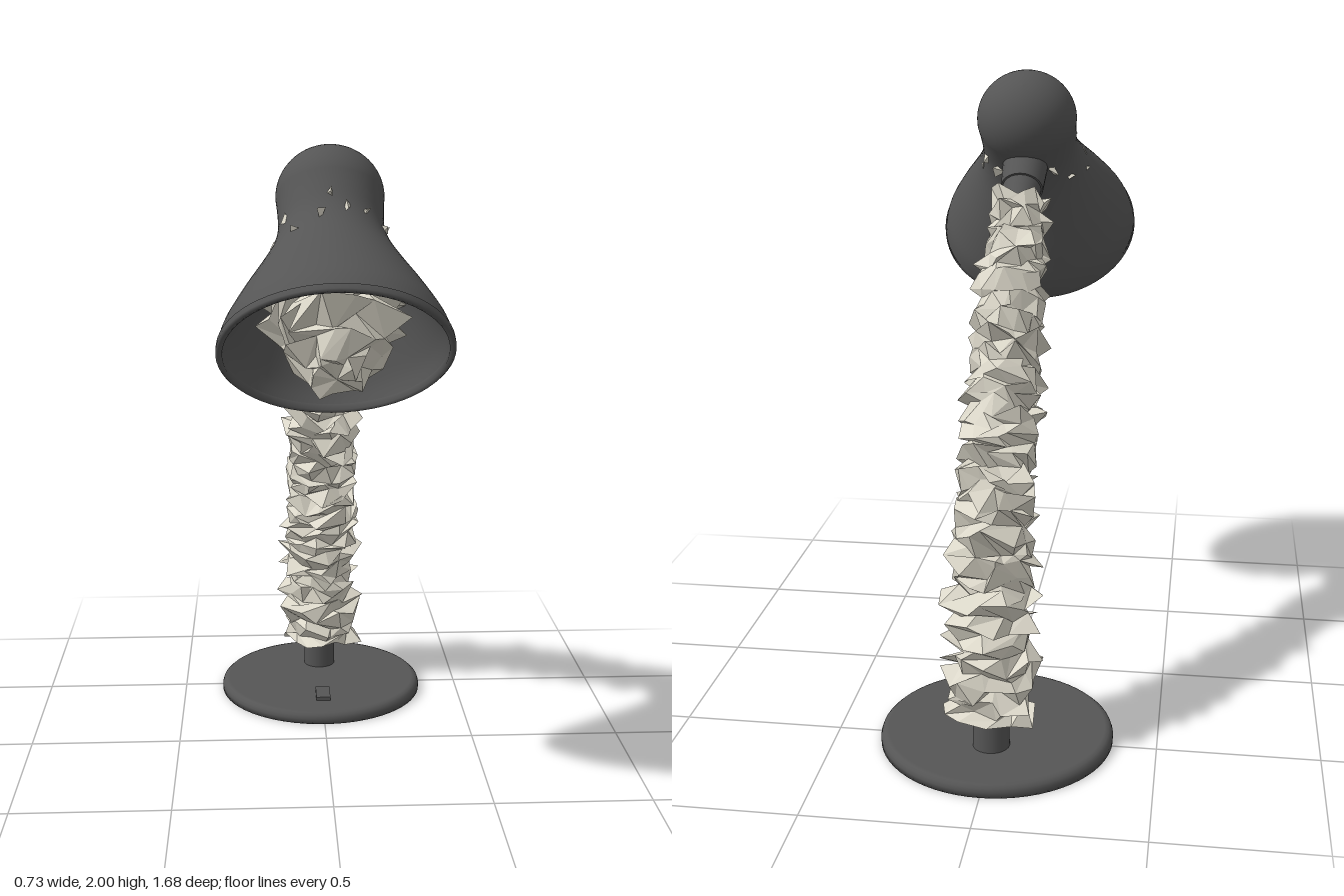
import * as THREE from 'three';

const dark = new THREE.MeshStandardMaterial({ color: 0x555555, side: THREE.DoubleSide });
const crumpled = new THREE.MeshStandardMaterial({ color: 0xdcd8ca, side: THREE.DoubleSide, flatShading: true });

// Small seeded generator
let seed = 7;
function rand() {
  seed = (seed * 16807) % 2147483647;
  return seed / 2147483647;
}

function add(parent, name, geometry, material) {
  const mesh = new THREE.Mesh(geometry, material);
  mesh.name = name;
  parent.add(mesh);
  return mesh;
}

function lathe(pairs, segments = 64) {
  return new THREE.LatheGeometry(pairs.map(([r, y]) => new THREE.Vector2(r, y)), segments);
}

// Jagged tube along a curve in the x = 0 plane; radiusAt(t) is its outer size
function jaggedTube(curve, radiusAt, rings, sides, slip) {
  const positions = [], index = [];
  const side = new THREE.Vector3(1, 0, 0);
  for (let i = 0; i <= rings; i++) {
    const t = i / rings;
    const center = curve.getPointAt(t);
    const tangent = curve.getTangentAt(t);
    const up = new THREE.Vector3().crossVectors(tangent, side);
    const pinch = i % 2 ? 0.8 : 1;
    for (let j = 0; j < sides; j++) {
      const a = ((j + 0.5 * (i % 2) + 0.8 * (rand() - 0.5)) / sides) * Math.PI * 2;
      const r = radiusAt(t) * pinch * (0.65 + 0.42 * rand());
      const p = center.clone()
        .addScaledVector(side, Math.cos(a) * r)
        .addScaledVector(up, Math.sin(a) * r)
        .addScaledVector(tangent, (rand() - 0.5) * slip);
      positions.push(p.x, p.y, p.z);
    }
  }
  for (let i = 0; i < rings; i++) {
    for (let j = 0; j < sides; j++) {
      const k = (j + 1) % sides;
      const a = i * sides + j, b = i * sides + k, c = a + sides, d = b + sides;
      if (rand() < 0.5) index.push(a, b, d, a, d, c);
      else index.push(a, b, c, b, d, c);
    }
  }
  // End caps
  [0, 1].forEach((t) => {
    const p = curve.getPointAt(t), tip = positions.length / 3, o = t * rings * sides;
    positions.push(p.x, p.y, p.z);
    for (let j = 0; j < sides; j++) {
      const k = (j + 1) % sides;
      if (t) index.push(tip, o + j, o + k);
      else index.push(tip, o + k, o + j);
    }
  });
  const g = new THREE.BufferGeometry();
  g.setAttribute('position', new THREE.Float32BufferAttribute(positions, 3));
  g.setIndex(index);
  const flat = g.toNonIndexed();
  flat.computeVertexNormals();
  return flat;
}

// Cylinder between two points
function rod(parent, name, from, to, rFrom, rTo) {
  const dir = to.clone().sub(from);
  const mesh = add(parent, name, new THREE.CylinderGeometry(rTo, rFrom, dir.length(), 24), dark);
  mesh.position.copy(from).add(to).multiplyScalar(0.5);
  mesh.quaternion.setFromUnitVectors(new THREE.Vector3(0, 1, 0), dir.normalize());
}

export function createModel() {
  seed = 7;
  const model = new THREE.Group();
  const v = (y, z) => new THREE.Vector3(0, y, z);

  // Round foot with rounded rim, switch and stem
  const foot = new THREE.Group();
  foot.name = 'foot';
  model.add(foot);
  add(foot, 'basePlate', lathe([
    [0, 0], [0.363, 0], [0.363, 0.018], [0.359, 0.029], [0.35, 0.037], [0.338, 0.04], [0, 0.04],
  ]), dark).position.z = -0.48;
  add(foot, 'switch', new THREE.BoxGeometry(0.05, 0.02, 0.1), dark).position.set(0, 0.043, -0.28);
  rod(foot, 'stem', v(0.03, -0.605), v(0.2, -0.6), 0.057, 0.055);

  // Crumpled bending neck
  const path = new THREE.CatmullRomCurve3([
    v(0.15, -0.585), v(0.4, -0.58), v(0.62, -0.545), v(0.9, -0.435),
    v(1.2, -0.26), v(1.4, -0.12), v(1.6, 0.045),
  ]);
  add(model, 'neck', jaggedTube(path, (t) => 0.155 - 0.045 * t * t, 54, 12, 0.055), crumpled);

  // Joint between neck and shade
  rod(model, 'joint', v(1.585, 0.03), v(1.635, 0.105), 0.05, 0.062);
  rod(model, 'jointSocket', v(1.635, 0.105), v(1.71, 0.21), 0.068, 0.075);

  // Head: local -y points out of the shade opening
  const head = new THREE.Group();
  head.name = 'head';
  head.position.set(0, 1.843, 0.233);
  head.rotation.x = -0.728;
  model.add(head);

  // Shade, slightly wider than deep
  const shade = new THREE.Group();
  shade.name = 'lampShade';
  shade.scale.x = 1.035;
  head.add(shade);
  const flare = new THREE.SplineCurve([
    [0.323, -0.535], [0.307, -0.475], [0.259, -0.375], [0.208, -0.28],
    [0.17, -0.2], [0.152, -0.13], [0.152, -0.06], [0.157, 0],
  ].map(([r, y]) => new THREE.Vector2(r, y))).getPoints(28).map((p) => [p.x, p.y]);
  const dome = [];
  for (let i = 1; i <= 14; i++) {
    const a = (i / 14) * Math.PI / 2;
    dome.push([0.157 * Math.cos(a), 0.157 * Math.sin(a)]);
  }
  add(shade, 'shadeShell', lathe([...flare, ...dome]), dark);
  add(shade, 'shadeLining', lathe(flare.map(([r, y]) => [r - 0.014, y]).reverse()), dark);
  add(shade, 'shadeRim', lathe([
    [0.308, -0.53], [0.308, -0.55], [0.32, -0.553], [0.326, -0.547], [0.325, -0.53],
  ]), dark);

  // Crumpled bulb, narrow in the shade's throat and wide near the opening
  const profile = new THREE.SplineCurve([
    [0, 0.06], [0.1, 0.13], [0.25, 0.152], [0.45, 0.195], [0.62, 0.23],
    [0.78, 0.215], [0.9, 0.16], [1, 0.08],
  ].map(([t, r]) => new THREE.Vector2(t, r))).getPoints(80);
  const bulbRadius = (t) => profile.find((p) => p.x >= t - 1e-6).y;
  add(head, 'bulb', jaggedTube(new THREE.LineCurve3(v(0, 0), v(-0.63, 0)), bulbRadius, 18, 14, 0.05), crumpled);

  // Loose flakes breaking through the shade's throat
  for (let i = 0; i < 18; i++) {
    const a = (i + rand()) / 18 * Math.PI * 2, y = -0.08 - 0.15 * rand();
    const r = 0.158 + 0.02 * Math.max(0, (-y - 0.15) / 0.08);
    const flake = add(head, 'flake', new THREE.TetrahedronGeometry(0.016 + 0.01 * rand()), crumpled);
    flake.position.set(Math.cos(a) * r, y, Math.sin(a) * r);
    flake.rotation.set(rand() * 6, rand() * 6, rand() * 6);
    flake.scale.set(1.3, 0.6, 1);
  }

  return model;
}
